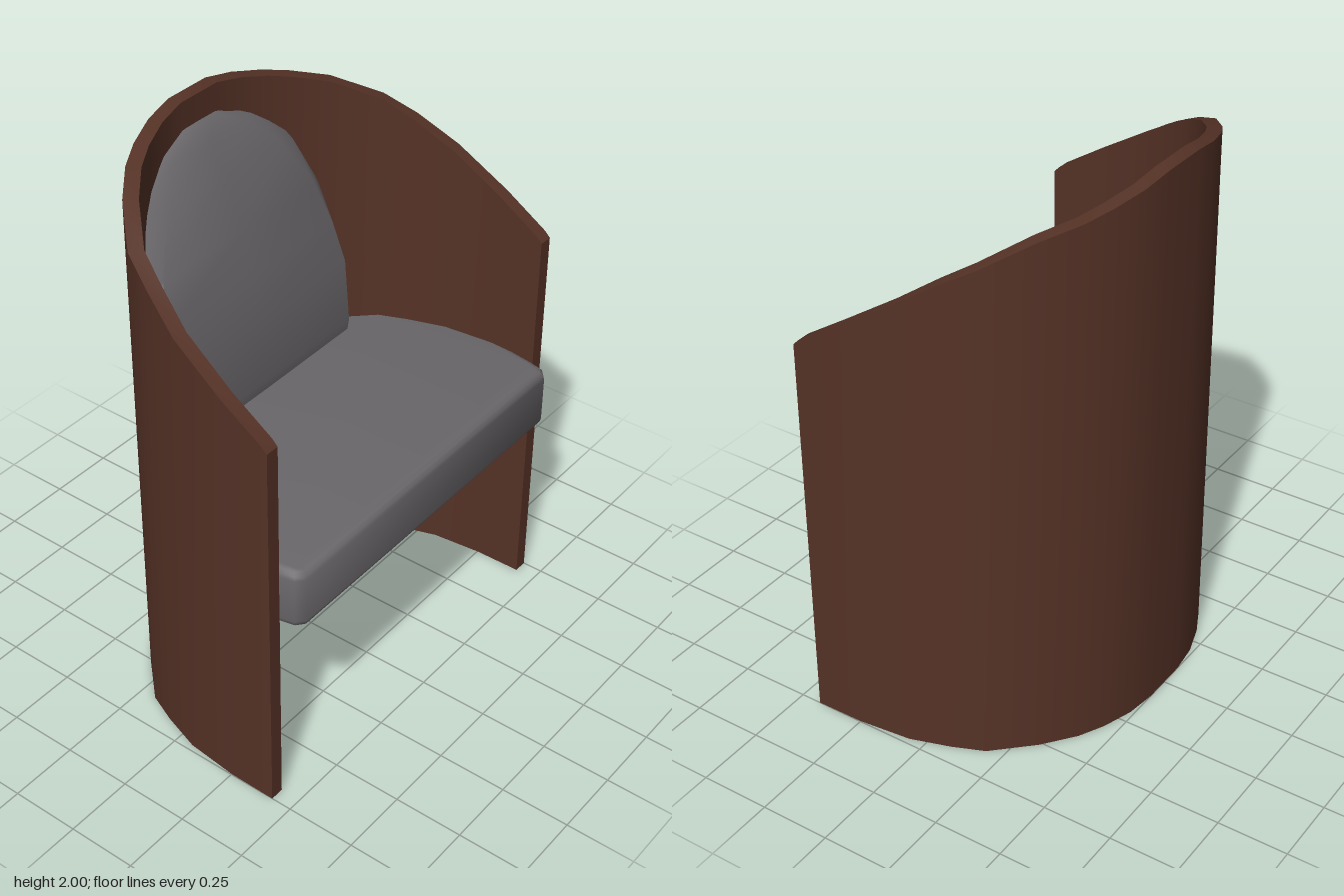
import * as THREE from 'three';
import { toCreasedNormals } from 'three/addons/utils/BufferGeometryUtils.js';

// Skin a list of sections (each an array of [x, y, z]) with quads.
function skin(sections, closed, crease) {
  const n = sections[0].length, index = [];
  const steps = closed ? n : n - 1;
  for (let i = 0; i < sections.length - 1; i++) {
    for (let j = 0; j < steps; j++) {
      const k = (j + 1) % n;
      const a = i * n + j, b = a + n, c = (i + 1) * n + k, d = i * n + k;
      index.push(a, b, c, a, c, d);
    }
  }
  if (closed) {
    // end caps
    const e = (sections.length - 1) * n;
    for (let j = 1; j < n - 1; j++) index.push(0, j, j + 1, e, e + j + 1, e + j);
  }
  const geo = new THREE.BufferGeometry();
  geo.setAttribute('position', new THREE.Float32BufferAttribute(sections.flat(2), 3));
  geo.setIndex(index);
  return toCreasedNormals(geo, crease);
}

// Wall plan on the left half: x, z, height of the top edge there
const half = [
  [0.75, 0.425, 1.43], [0.75, 0.405, 1.45], [0.748, 0.25, 1.55], [0.728, 0.06, 1.67],
  [0.682, -0.08, 1.76], [0.635, -0.19, 1.82], [0.51, -0.32, 1.895], [0.4, -0.405, 1.93],
  [0.31, -0.45, 1.955], [0.2, -0.486, 1.98], [0.09, -0.5, 2.0],
];
const plan = [...half, ...half.map(([x, z, y]) => [-x, z, y]).reverse()];

// Point of the plan moved inwards by d
function inset(i, d) {
  const [x, z] = plan[i];
  if (i === 0 || i === plan.length - 1) return [x - Math.sign(x) * d, z];
  const p = plan[i - 1], q = plan[i + 1];
  const dx = q[0] - p[0], dz = q[1] - p[1], l = Math.hypot(dx, dz);
  return [x + (dz / l) * d, z - (dx / l) * d];
}

function wallGeometry() {
  return skin(plan.map(([x, z, top], i) => {
    const [ix, iz] = inset(i, 0.05);
    return [[x, 0, z], [x, top, z], [ix, top, iz], [ix, 0, iz]];
  }), true, 0.6);
}

function seatGeometry() {
  // Rounded slab whose back edge is let into the wall
  const pts = [[0.66, 0.5], [0.69, 0.475], [0.7, 0.43]];
  for (let i = 2; i < plan.length - 2; i++) pts.push(inset(i, 0.02));
  pts.push([-0.7, 0.43], [-0.69, 0.475], [-0.66, 0.5]);
  const shape = new THREE.Shape(pts.map(([x, z]) => new THREE.Vector2(x, -z)));
  const r = 0.03;
  const geo = new THREE.ExtrudeGeometry(shape, {
    depth: 0.225 - 2 * r, bevelEnabled: true, bevelThickness: r,
    bevelSize: r, bevelOffset: -r, bevelSegments: 3,
  });
  geo.rotateX(-Math.PI / 2);
  geo.translate(0, 0.735 + r, 0);
  return toCreasedNormals(geo, 0.9);
}

function backCushionGeometry() {
  // Rows going up: y, half width at the wall, z there, half width of the face, z there
  const rows = [
    [0.9, 0.475, -0.29, 0.45, -0.2], [0.97, 0.485, -0.28, 0.457, -0.193],
    [1.0, 0.49, -0.28, 0.46, -0.19], [1.24, 0.487, -0.28, 0.455, -0.207],
    [1.4, 0.47, -0.302, 0.425, -0.24], [1.55, 0.443, -0.33, 0.385, -0.285],
    [1.74, 0.363, -0.385, 0.28, -0.35], [1.84, 0.243, -0.432, 0.18, -0.408],
    [1.9, 0.105, -0.46, 0.07, -0.445], [1.91, 0.1, -0.475, 0.07, -0.475],
  ];
  const columns = [
    ([y, w, z]) => [-w, y, z],
    ([y, , , w, z]) => [-w, y, z],
    ([y, , , , z]) => [0, y, z + 0.003],
    ([y, , , w, z]) => [w, y, z],
    ([y, w, z]) => [w, y, z],
  ];
  return skin(columns.map((f) => rows.map(f)), false, 0.8);
}

export function createModel() {
  const wood = new THREE.MeshStandardMaterial({ color: 0x55322a });
  wood.name = 'dark brown shell';
  wood.color.set(0x553226);
  const fabric = new THREE.MeshStandardMaterial({ color: 0x6a676a });
  fabric.name = 'grey fabric';
  const fabricSheet = fabric;
  fabricSheet.side = THREE.DoubleSide;

  const group = new THREE.Group();
  group.name = 'tubChair';
  const add = (name, geometry, material) => {
    const mesh = new THREE.Mesh(geometry, material);
    mesh.name = name;
    group.add(mesh);
  };
  add('curvedShell', wallGeometry(), wood);
  add('seatCushion', seatGeometry(), fabric);
  add('backCushion', backCushionGeometry(), fabric);
  return group;
}
